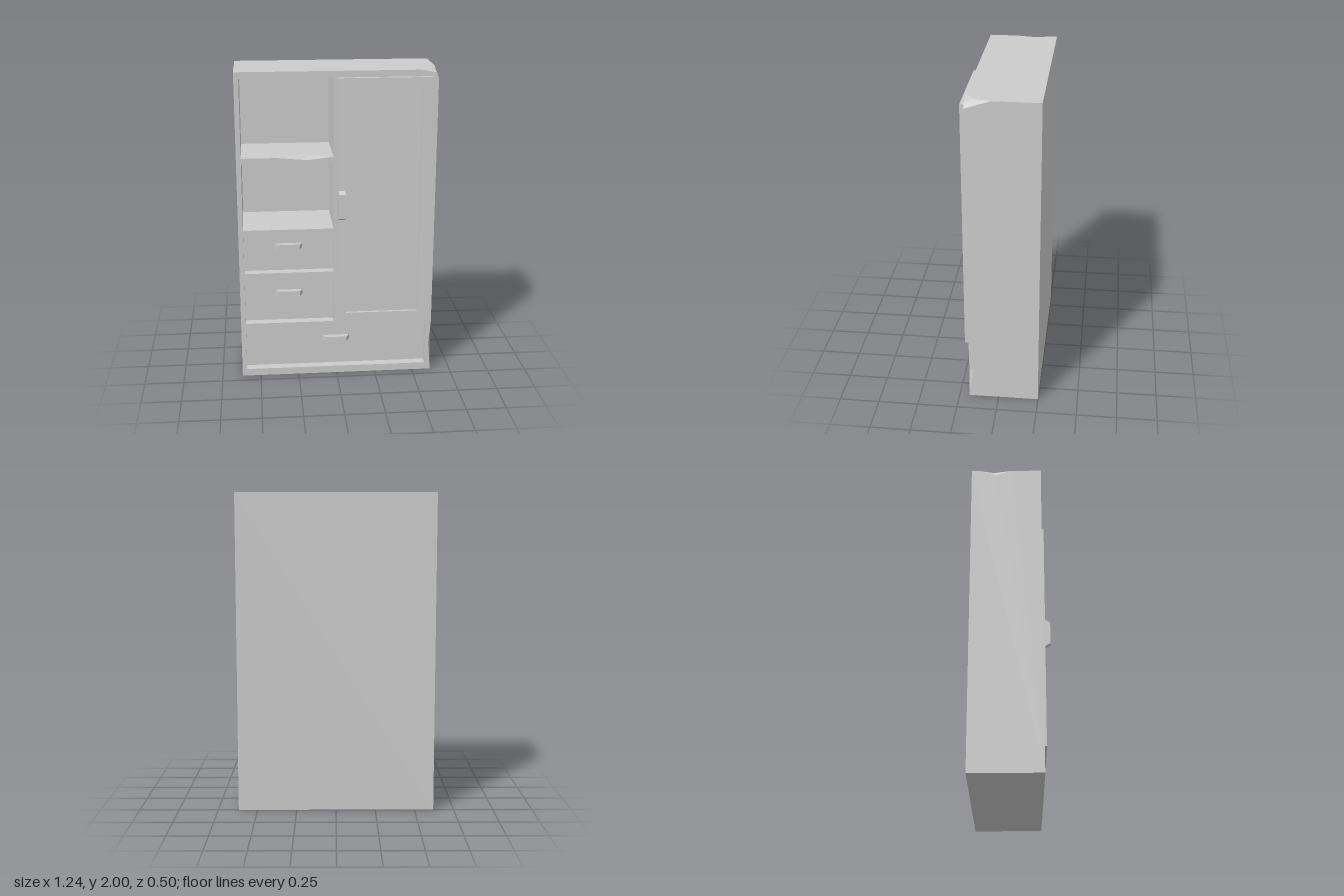
import * as THREE from 'three';

const W = 0.62, H = 2, FRONT = 0.187, BACK = -0.25;
const SHELF_BACK = -0.2, DRAWER_Z = 0.13;
const material = new THREE.MeshStandardMaterial({ color: 0xcccccc, flatShading: true });

// Collects flat polygons (with optional holes), each turned to face a direction
function createFacets() {
  const positions = [];
  const face = (outline, dir, holes = []) => {
    const d = new THREE.Vector3(...dir);
    const size = dir.map(Math.abs);
    const drop = size.indexOf(Math.max(...size));
    const flat = (p) => new THREE.Vector2(...p.filter((_, i) => i !== drop));
    const all = [outline, ...holes].flat();
    const triangles = THREE.ShapeUtils.triangulateShape(outline.map(flat), holes.map((h) => h.map(flat)));
    for (const t of triangles) {
      const [a, b, c] = t.map((i) => new THREE.Vector3(...all[i]));
      const normal = b.clone().sub(a).cross(c.clone().sub(a));
      const order = normal.dot(d) < 0 ? [a, c, b] : [a, b, c];
      for (const v of order) positions.push(v.x, v.y, v.z);
    }
  };
  const build = () => {
    const g = new THREE.BufferGeometry();
    g.setAttribute('position', new THREE.Float32BufferAttribute(positions, 3));
    g.computeVertexNormals();
    return g;
  };
  return { face, build };
}

function addMesh(parent, geometry, name, x = 0, y = 0, z = 0) {
  const mesh = new THREE.Mesh(geometry, material);
  mesh.name = name;
  mesh.position.set(x, y, z);
  parent.add(mesh);
  return mesh;
}

// Bar handle with sloping ends, lying along x and rising along +z
function handleGeometry(length, width, depth) {
  const half = length / 2, slope = 0.018;
  const shape = new THREE.Shape([
    new THREE.Vector2(-half, 0), new THREE.Vector2(half, 0),
    new THREE.Vector2(half - slope, depth), new THREE.Vector2(-half + slope, depth),
  ]);
  const g = new THREE.ExtrudeGeometry(shape, { depth: width, bevelEnabled: false });
  return g.translate(0, 0, -width / 2).rotateX(Math.PI / 2);
}

function carcassGeometry(openings) {
  const { face, build } = createFacets();

  // Broken top corner
  const a = [0.515, H, FRONT], b = [0.59, H, 0.14], c = [W, H, 0.035];
  const d = [W, 1.95, FRONT], e = [0.605, 1.983, FRONT];
  for (const tri of [[a, e, b], [b, e, c], [c, e, d]]) face(tri, [0.5, 1, 0.5]);

  // Nick low on the front edge
  const p = [W, 0.35, FRONT], q = [0.606, 0.19, FRONT], r = [W, 0.03, FRONT], s = [W, 0.2, 0.155];
  for (const tri of [[p, q, s], [q, r, s]]) face(tri, [1, 0, 0.5]);

  // Notch in the top side edge
  const t = [-W, H, -0.2], u = [-0.597, H, -0.11], v = [-W, H, 0], w = [-W, 1.965, -0.1];
  for (const tri of [[t, u, w], [u, v, w]]) face(tri, [-1, 0.6, 0]);

  // Worn front edge of the upper shelf
  const y = openings[0].y0;
  const wear = [[-0.37, y, FRONT], [-0.18, 1.453, FRONT], [-0.03, y, FRONT]];
  const wearBack = [-0.2, y, 0.11];
  face([wear[0], wear[1], wearBack], [0, 1, 0.5]);
  face([wear[1], wear[2], wearBack], [0, 1, 0.5]);

  // Outer faces
  const fl = [-W, 0, FRONT], fr = [W, 0, FRONT], bl = [-W, 0, BACK], br = [W, 0, BACK];
  const tfl = [-W, H, FRONT], tbl = [-W, H, BACK], tbr = [W, H, BACK];
  const holes = openings.map((o, i) => [
    [o.x0, o.y0, FRONT], ...(i === 0 ? wear : []),
    [o.x1, o.y0, FRONT], [o.x1, o.y1, FRONT], [o.x0, o.y1, FRONT],
  ]);
  face([fl, fr, r, q, p, d, e, a, tfl], [0, 0, 1], holes);
  face([bl, br, tbr, tbl], [0, 0, -1]);
  face([fr, br, tbr, c, d, p, s, r], [1, 0, 0]);
  face([fl, bl, tbl, t, w, v, tfl], [-1, 0, 0]);
  face([tfl, a, b, c, tbr, tbl, t, u, v], [0, 1, 0]);
  face([fl, fr, br, bl], [0, -1, 0]);

  // Walls inside every opening
  openings.forEach((o, i) => {
    const { x0, x1, y0, y1 } = o;
    const z = o.drawer ? DRAWER_Z : SHELF_BACK;
    const edge = i === 0 ? [wear[0], wearBack, wear[2]] : [];
    face([[x0, y0, z], [x0, y0, FRONT], ...edge, [x1, y0, FRONT], [x1, y0, z]], [0, 1, 0]);
    face([[x0, y1, z], [x0, y1, FRONT], [x1, y1, FRONT], [x1, y1, z]], [0, -1, 0]);
    face([[x0, y0, z], [x0, y0, FRONT], [x0, y1, FRONT], [x0, y1, z]], [1, 0, 0]);
    face([[x1, y0, z], [x1, y0, FRONT], [x1, y1, FRONT], [x1, y1, z]], [-1, 0, 0]);
    if (!o.drawer) face([[x0, y0, z], [x1, y0, z], [x1, y1, z], [x0, y1, z]], [0, 0, 1]);
  });
  return build();
}

// Door frame with a sunken panel and an upright handle
function createDoor() {
  const door = new THREE.Group();
  door.name = 'door';
  const rect = (Type, x0, x1, y0, y1) => new Type([[x0, y0], [x1, y0], [x1, y1], [x0, y1]]
    .map(([x, y]) => new THREE.Vector2(x, y)));
  const frame = rect(THREE.Shape, 0, 0.58, 0.375, 1.96);
  frame.holes.push(rect(THREE.Path, 0.057, 0.52, 0.437, 1.897));
  addMesh(door, new THREE.ExtrudeGeometry(frame, { depth: 0.029, bevelEnabled: false }), 'doorFrame', 0, 0, FRONT);
  addMesh(door, new THREE.BoxGeometry(0.463, 1.46, 0.01), 'doorPanel', 0.2885, 1.167, FRONT + 0.005);
  const handle = addMesh(door, handleGeometry(0.19, 0.042, 0.034), 'doorHandle', 0.029, 1.165, 0.216);
  handle.rotation.z = Math.PI / 2;
  return door;
}

export function createModel() {
  const model = new THREE.Group();
  model.name = 'wardrobe';
  const openings = [
    { x0: -0.59, x1: -0.02, y0: 1.47, y1: 1.96 },
    { x0: -0.59, x1: -0.02, y0: 1.005, y1: 1.43 },
    { x0: -0.59, x1: -0.02, y0: 0.715, y1: 0.965, drawer: true, handleY: 0.88 },
    { x0: -0.59, x1: -0.02, y0: 0.37, y1: 0.675, drawer: true, handleY: 0.562 },
    { x0: -0.59, x1: 0.585, y0: 0.047, y1: 0.33, drawer: true, handleY: 0.23 },
  ];
  addMesh(model, carcassGeometry(openings), 'carcass');

  // Drawer fronts with their handles
  for (const { x0, x1, y0, y1, handleY } of openings.filter((o) => o.drawer)) {
    const drawer = new THREE.Group();
    drawer.name = 'drawer';
    const x = (x0 + x1) / 2;
    addMesh(drawer, new THREE.BoxGeometry(x1 - x0, y1 - y0, 0.02), 'drawerFront', x, (y0 + y1) / 2, DRAWER_Z - 0.01);
    addMesh(drawer, handleGeometry(0.175, 0.032, 0.035), 'drawerHandle', x, handleY, DRAWER_Z);
    model.add(drawer);
  }

  model.add(createDoor());
  return model;
}
